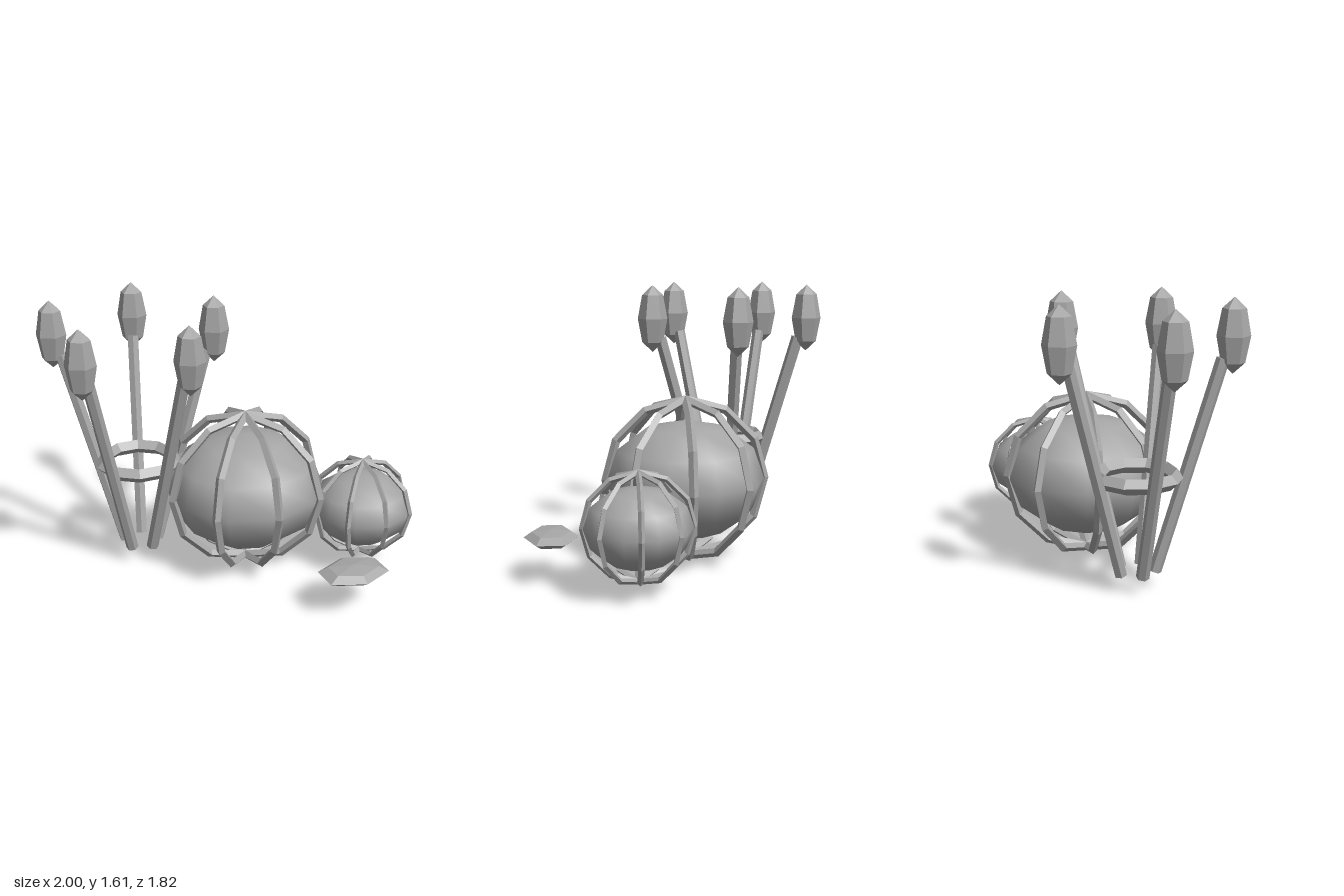
import * as THREE from 'three';

const grey = new THREE.MeshStandardMaterial({ color: 0xa6a6a6 });
grey.name = 'grey';

function add(parent, name, geometry, flat = true) {
  let g = geometry;
  if (flat) {
    g = geometry.toNonIndexed();
    g.computeVertexNormals();
  }
  const mesh = new THREE.Mesh(g, grey);
  mesh.name = name;
  parent.add(mesh);
  return mesh;
}

// Faceted ellipsoid with a corner facing +z
function ellipsoid(sides, rings, rx, ry, rz) {
  return new THREE.SphereGeometry(1, sides, rings).rotateY(Math.PI / 2).scale(rx, ry, rz);
}

// Squashed ball inside a cage of four full hoops
function ribbedBall(name, x, y, z, size) {
  const ball = new THREE.Group();
  ball.name = name;
  const body = ellipsoid(10, 6, 0.472, 0.35, 0.472);
  body.computeVertexNormals();
  const src = new THREE.SphereGeometry(1, 10, 6).rotateY(Math.PI / 2).scale(0.472, 0.35, 0.472);
  add(ball, 'body', src, false);
  for (let i = 0; i < 4; i++) {
    const rib = add(ball, 'rib', new THREE.TorusGeometry(0.47, 0.026, 4, 12));
    rib.rotation.y = i * Math.PI / 4;
  }
  ball.position.set(x, y, z);
  ball.scale.setScalar(size);
  return ball;
}

// Ring holding five stalks that lean outwards, each with a pod on top
function stalkBundle() {
  const bundle = new THREE.Group();
  bundle.name = 'stalkBundle';
  const ring = add(bundle, 'ring', new THREE.TorusGeometry(0.218, 0.043, 4, 10).rotateX(-Math.PI / 2));
  ring.position.y = 0.645;
  const bottom = new THREE.Vector3(0.105, 0.1, 0);
  const top = new THREE.Vector3(0.45, 1.29, 0);
  const along = top.clone().sub(bottom);
  for (let i = 0; i < 5; i++) {
    const stalk = new THREE.Group();
    stalk.name = 'stalk';
    stalk.rotation.y = i * Math.PI * 2 / 5;
    const stick = add(stalk, 'stick',
      new THREE.CylinderGeometry(0.037, 0.037, along.length(), 6).rotateY(Math.PI / 2));
    stick.position.copy(bottom).add(top).multiplyScalar(0.5);
    stick.rotation.z = -Math.atan2(along.x, along.y);
    bundle.add(stalk);
    // Pods stand upright and keep one heading
    const pod = add(bundle, 'pod', ellipsoid(6, 4, 0.091, 0.204, 0.091));
    const a = i * Math.PI * 2 / 5;
    pod.position.set(0.502 * Math.cos(a), 1.411, -0.502 * Math.sin(a));
  }
  bundle.position.set(-0.514, 0, -0.345);
  return bundle;
}

export function createModel() {
  const model = new THREE.Group();
  model.name = 'ribbedBallsAndStalks';
  model.add(ribbedBall('largeRibbedBall', 0.05, 0.497, -0.03, 1));
  model.add(ribbedBall('smallRibbedBall', 0.68, 0.377, 0.283, 0.638));
  model.add(stalkBundle());
  // Flat pebble in front
  const pebble = add(model, 'pebble', ellipsoid(6, 4, 0.216, 0.044, 0.155));
  pebble.position.set(0.363, 0.25, 0.753);
  return model;
}
